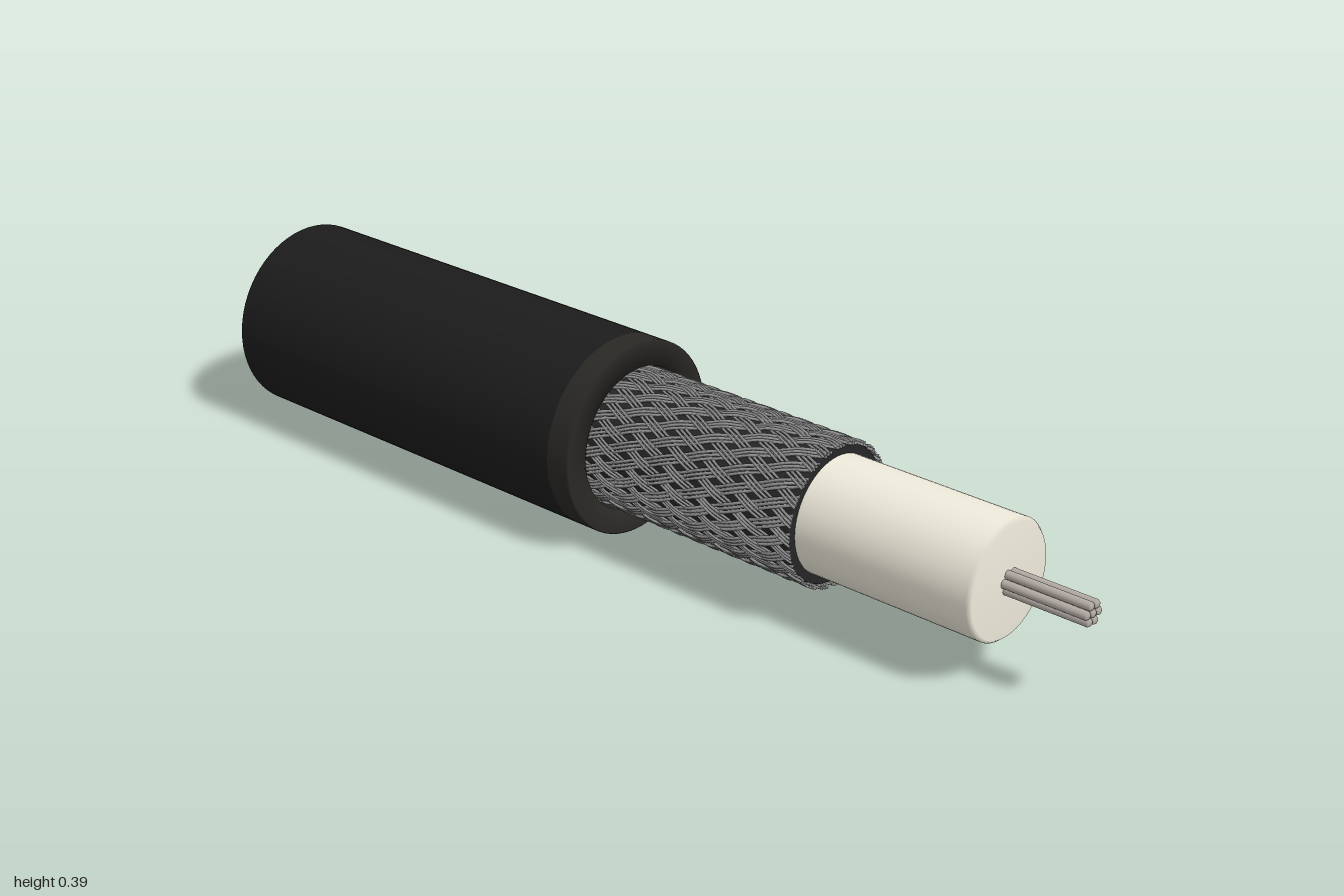
import * as THREE from 'three';
import { mergeGeometries } from 'three/addons/utils/BufferGeometryUtils.js';

const mat = (color) => new THREE.MeshStandardMaterial({ color });

// Solid of revolution around the cable axis (+x); points are [radius, position]
function turned(name, points, color, segments = 64) {
  const geo = new THREE.LatheGeometry(points.map(([r, s]) => new THREE.Vector2(r, s)), segments);
  geo.rotateZ(-Math.PI / 2);
  const mesh = new THREE.Mesh(geo, mat(color));
  mesh.name = name;
  return mesh;
}

// One braid wire: a helix that weaves over and under the opposite family
const CARRIERS = 24, TWIST = 1.6, BRAID_START = -0.08, BRAID_END = 0.456;
class BraidWire extends THREE.Curve {
  constructor(start, direction) {
    super();
    this.start = start;
    this.direction = direction;
  }
  getPoint(t, target = new THREE.Vector3()) {
    const angle = this.start + this.direction * TWIST * t;
    const r = 0.1365 + this.direction * 0.0025 * Math.cos(CARRIERS * TWIST * t);
    return target.set(BRAID_START + (BRAID_END - BRAID_START) * t, r * Math.cos(angle), r * Math.sin(angle));
  }
}

function makeBraid() {
  const wires = [];
  for (const direction of [1, -1]) {
    for (let i = 0; i < CARRIERS; i++) {
      for (const offset of [-1, 0, 1]) {
        const start = (i / CARRIERS) * Math.PI * 2 + offset * 0.055;
        wires.push(new THREE.TubeGeometry(new BraidWire(start, direction), 48, 0.0032, 4));
      }
    }
  }
  const mesh = new THREE.Mesh(mergeGeometries(wires), mat(0x9a9a9a));
  mesh.name = 'braidedShield';
  return mesh;
}

export function createModel() {
  const model = new THREE.Group();
  model.name = 'strippedCable';

  const cable = new THREE.Group();
  cable.name = 'cable';
  cable.position.set(0, 0.194, 0.018);
  cable.rotation.y = -0.0425;
  model.add(cable);

  // Outer jacket with closed rear end
  cable.add(turned('jacket', [[0, -0.992], [0.191, -0.992], [0.194, -0.989], [0.194, -0.09]], 0x1c1c1c));

  // Cut lip of the jacket
  cable.add(turned('jacketLip', [[0.194, -0.09], [0.194, -0.041], [0.191, -0.038], [0.144, -0.038], [0.142, -0.09]], 0x2a2825));

  // Dark layer under the braid
  cable.add(turned('innerSleeve', [[0.133, -0.09], [0.133, 0.446], [0.131, 0.448], [0.11, 0.448]], 0x262626));
  cable.add(makeBraid());

  // Pale insulating core
  cable.add(turned('insulator', [[0.115, -0.09], [0.115, 0.82], [0.108, 0.828], [0, 0.828]], 0xefebdc));

  // Seven-strand conductor: one in the middle, six around it
  const conductor = new THREE.Group();
  conductor.name = 'conductor';
  for (let i = 0; i < 7; i++) {
    const strand = turned('conductorStrand', [[0.0085, 0.8], [0.0085, 0.996], [0.006, 1], [0, 1]], 0xb4aca6, 16);
    if (i > 0) {
      const angle = (i / 6) * Math.PI * 2 + 0.1;
      strand.position.set(0, 0.017 * Math.sin(angle), 0.017 * Math.cos(angle));
    }
    conductor.add(strand);
  }
  cable.add(conductor);

  return model;
}
